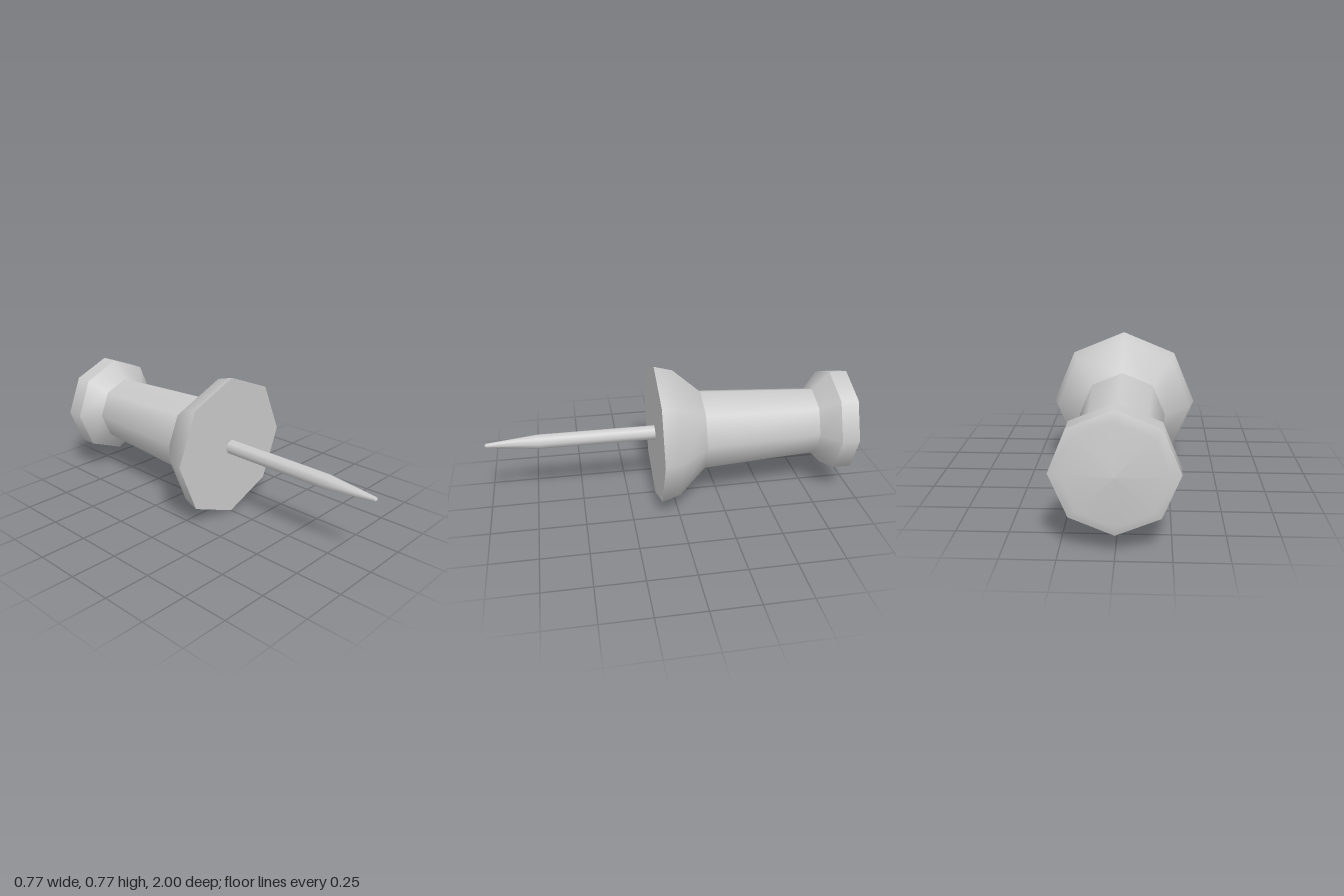
import * as THREE from 'three';

const SIDES = 8;
const AXIS_Y = 0.385;

export function createModel() {
  const model = new THREE.Group();
  const material = new THREE.MeshStandardMaterial({ color: 0xcccccc });

  // Turns [radius, z] points around the pin axis; each band is smooth, joints between bands are sharp.
  function turnedPart(name, bands) {
    const part = new THREE.Group();
    part.name = name;
    bands.forEach((band, i) => {
      const points = band.map(([r, z]) => new THREE.Vector2(r, z));
      const mesh = new THREE.Mesh(new THREE.LatheGeometry(points, SIDES), material);
      mesh.name = `${name}Band${i + 1}`;
      part.add(mesh);
    });
    part.rotation.x = Math.PI / 2; // lathe axis points to the front
    part.position.y = AXIS_Y;
    model.add(part);
  }

  // Domed cap, rim and bevel under the rim
  turnedPart('head', [
    [[0, -1], [0.235, -0.98], [0.283, -0.963]],
    [[0.283, -0.963], [0.283, -0.868]],
    [[0.283, -0.868], [0.187, -0.778]],
  ]);

  // Tapered grip
  turnedPart('grip', [[[0.187, -0.778], [0.222, -0.152]]]);

  // Flared collar closed by a flat front face
  turnedPart('collar', [
    [[0.222, -0.152], [0.358, 0], [0.385, 0.097]],
    [[0.385, 0.097], [0, 0.097]],
  ]);

  // Metal pin with a tapered, blunt tip
  turnedPart('pin', [
    [[0.04, 0.09], [0.04, 0.72], [0.012, 0.99]],
    [[0.012, 0.99], [0, 1]],
  ]);

  return model;
}
